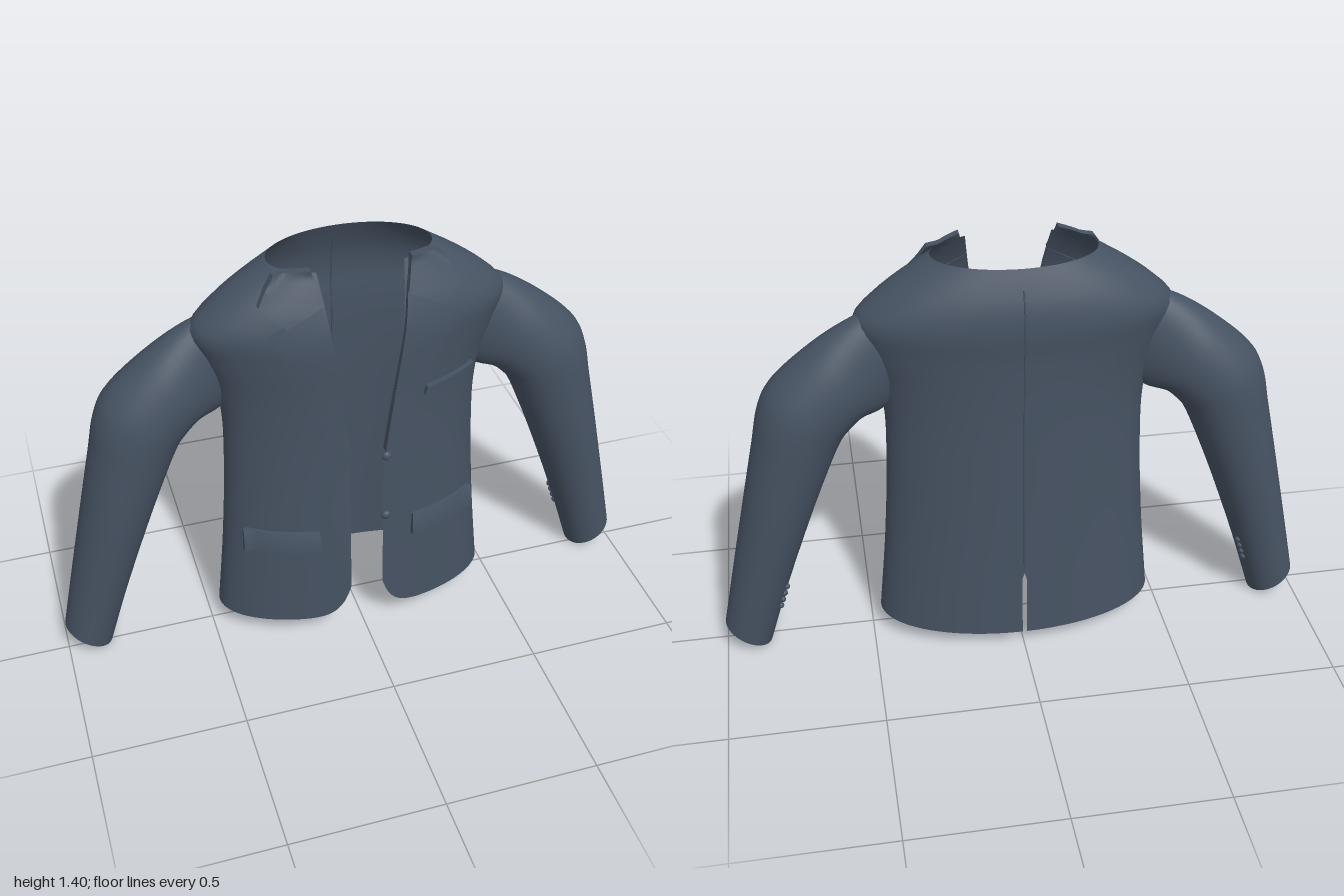
import * as THREE from 'three';
import { mergeVertices, toCreasedNormals } from 'three/addons/utils/BufferGeometryUtils.js';

const cloth = new THREE.MeshStandardMaterial({ color: 0x465262, side: THREE.DoubleSide });
cloth.name = 'slate wool';

const lerp = THREE.MathUtils.lerp;
const table = (keys, rows) => new THREE.CubicInterpolant(keys, rows.flat(), rows[0].length, new Float32Array(rows[0].length));

// Torso by height: half width, front depth, back depth
const torso = table(
  [0.05, 0.4, 0.7, 0.87, 1.0, 1.1, 1.2, 1.27, 1.33, 1.39],
  [[0.472, 0.205, 0.212], [0.438, 0.2, 0.2], [0.42, 0.192, 0.193], [0.42, 0.19, 0.19], [0.44, 0.19, 0.19],
    [0.475, 0.192, 0.192], [0.5, 0.19, 0.198], [0.435, 0.175, 0.19], [0.355, 0.153, 0.17], [0.258, 0.13, 0.145]]);

// Half width of the front opening by height
const opening = (y) => 0.055 + 0.08 * Math.max(0, (y - 0.75) / 0.64);

// Sleeve sections: upper point x y, lower point x y, half depth
const sleeve = table([0, 1, 2, 3, 4, 5, 6, 7, 8], [
  [0.4, 1.25, 0.4, 0.9, 0.06], [0.52, 1.2, 0.44, 0.88, 0.085], [0.64, 1.12, 0.49, 0.865, 0.113],
  [0.765, 1.01, 0.53, 0.83, 0.13], [0.815, 0.92, 0.56, 0.79, 0.133], [0.845, 0.79, 0.605, 0.69, 0.129],
  [0.89, 0.59, 0.68, 0.5, 0.12], [0.95, 0.32, 0.775, 0.235, 0.1], [1.0, 0.09, 0.85, 0.003, 0.085]]);

// Surface over a unit square, mirrored to either side
function surface(nu, nv, side, fn) {
  const pos = [], index = [];
  for (let j = 0; j <= nv; j++) {
    for (let i = 0; i <= nu; i++) {
      const [x, y, z] = fn(i / nu, j / nv, i, j);
      pos.push(x * side, y, z);
      if (i < nu && j < nv) {
        const a = j * (nu + 1) + i, b = a + 1, c = a + nu + 1, d = c + 1;
        if (side > 0) index.push(a, b, d, a, d, c);
        else index.push(a, d, b, a, c, d);
      }
    }
  }
  const g = new THREE.BufferGeometry();
  g.setAttribute('position', new THREE.Float32BufferAttribute(pos, 3));
  g.setIndex(index);
  const merged = mergeVertices(g, 1e-5);
  merged.computeVertexNormals();
  return merged;
}

function bodyPoint(u, v) {
  // Hem: rounded front corner, slightly lower at the back
  const t = lerp(0.12, Math.PI, u);
  const hem = 0.075 + 0.13 * Math.exp(-Math.max(0, 0.47 * Math.sin(t) - 0.055) / 0.035) * (t < 1.5 ? 1 : 0)
    - 0.015 * Math.max(0, -Math.cos(t));
  const y = lerp(hem, 1.39, v);
  const [w, f, b] = torso.evaluate(y);
  // Back vent is a narrow slit below 0.3
  const end = Math.PI - (y < 0.3 ? Math.asin(0.007 / w) : 0);
  const a = lerp(Math.asin(opening(y) / w), end, u);
  return [w * Math.sin(a), y, Math.cos(a) * (Math.cos(a) > 0 ? f : b)];
}

function sleevePoint(s, angle) {
  const [tx, ty, bx, by, depth] = sleeve.evaluate(s);
  const c = Math.cos(angle) / 2;
  return [(tx + bx) / 2 + (tx - bx) * c, (ty + by) / 2 + (ty - by) * c, -0.02 + depth * Math.sin(angle)];
}

function frontZ(x, y) {
  const [w, f] = torso.evaluate(Math.min(y, 1.39));
  const r = Math.min(0.86, x / w);
  return f * Math.sqrt(1 - r * r);
}

// Point along a polyline
function along(points, v) {
  const n = points.length - 1, k = Math.min(n - 1, Math.floor(v * n)), f = v * n - k;
  return [lerp(points[k][0], points[k + 1][0], f), lerp(points[k][1], points[k + 1][1], f)];
}

// Thick panel lying on the chest between an inner and an outer edge
function panel(inner, outer, side, height) {
  const n = 12;
  const clamp = (i) => THREE.MathUtils.clamp((i - 1) / (n - 2), 0, 1);
  const g = surface(n, n, side, (u, v, i, j) => {
    const p = along(inner, clamp(j)), q = along(outer, clamp(j));
    const x = lerp(p[0], q[0], clamp(i)), y = lerp(p[1], q[1], clamp(i));
    const rim = i === 0 || j === 0 || i === n || j === n;
    return [x, y, frontZ(x, y) + (rim ? -0.004 : height(clamp(j)))];
  });
  return toCreasedNormals(g, 0.6);
}

export function createModel() {
  const jacket = new THREE.Group();
  jacket.name = 'jacket';
  const add = (name, geometry) => {
    const m = new THREE.Mesh(geometry, cloth);
    m.name = name;
    jacket.add(m);
    return m;
  };

  for (const side of [1, -1]) {
    const label = side > 0 ? 'left' : 'right';

    // Torso half and sleeve
    add(label + 'Body', surface(48, 60, side, (u, v) => bodyPoint(Math.pow(u, 1.5), v)));
    add(label + 'Sleeve', surface(48, 36, side, (u, v) => sleevePoint(u * 8, -v * Math.PI * 2)));

    // Lapel and notched collar
    add(label + 'Lapel', panel([[0.055, 0.76], [0.13, 1.31]], [[0.07, 0.76], [0.295, 1.22]], side,
      (v) => lerp(0.024, 0.016, v)));
    add(label + 'Collar', panel([[0.13, 1.31], [0.142, 1.355], [0.155, 1.405]],
      [[0.245, 1.25], [0.315, 1.303], [0.26, 1.385]], side, () => 0.024));

    // Flap pocket
    add(label + 'PocketFlap', panel([[0.155, 0.385], [0.16, 0.463]], [[0.397, 0.385], [0.395, 0.463]], side,
      (v) => lerp(0.024, 0.01, v * v)));

    // Cuff buttons along the inner back of the sleeve
    for (let k = 0; k < 4; k++) {
      const [x, y, z] = sleevePoint(6.98 + k * 0.11, Math.PI + 0.45);
      const b = add(label + 'CuffButton', new THREE.SphereGeometry(0.011, 12, 8));
      b.position.set(x * side, y, z);
    }
  }

  // Breast pocket welt
  add('breastPocket', panel([[0.19, 0.934], [0.198, 0.962]], [[0.372, 0.95], [0.375, 0.976]], 1, () => 0.018));

  // Front buttons
  for (const y of [0.73, 0.49]) {
    const b = add('frontButton', new THREE.SphereGeometry(0.016, 16, 10));
    b.scale.z = 0.7;
    b.position.set(0.064, y, frontZ(0.064, y) + 0.006);
  }

  // Centre back seam
  const seam = [];
  for (let y = 0.31; y < 1.35; y += 0.06) seam.push(new THREE.Vector3(0, y, -torso.evaluate(y)[2]));
  add('backSeam', new THREE.TubeGeometry(new THREE.CatmullRomCurve3(seam), 50, 0.003, 6));

  return jacket;
}
